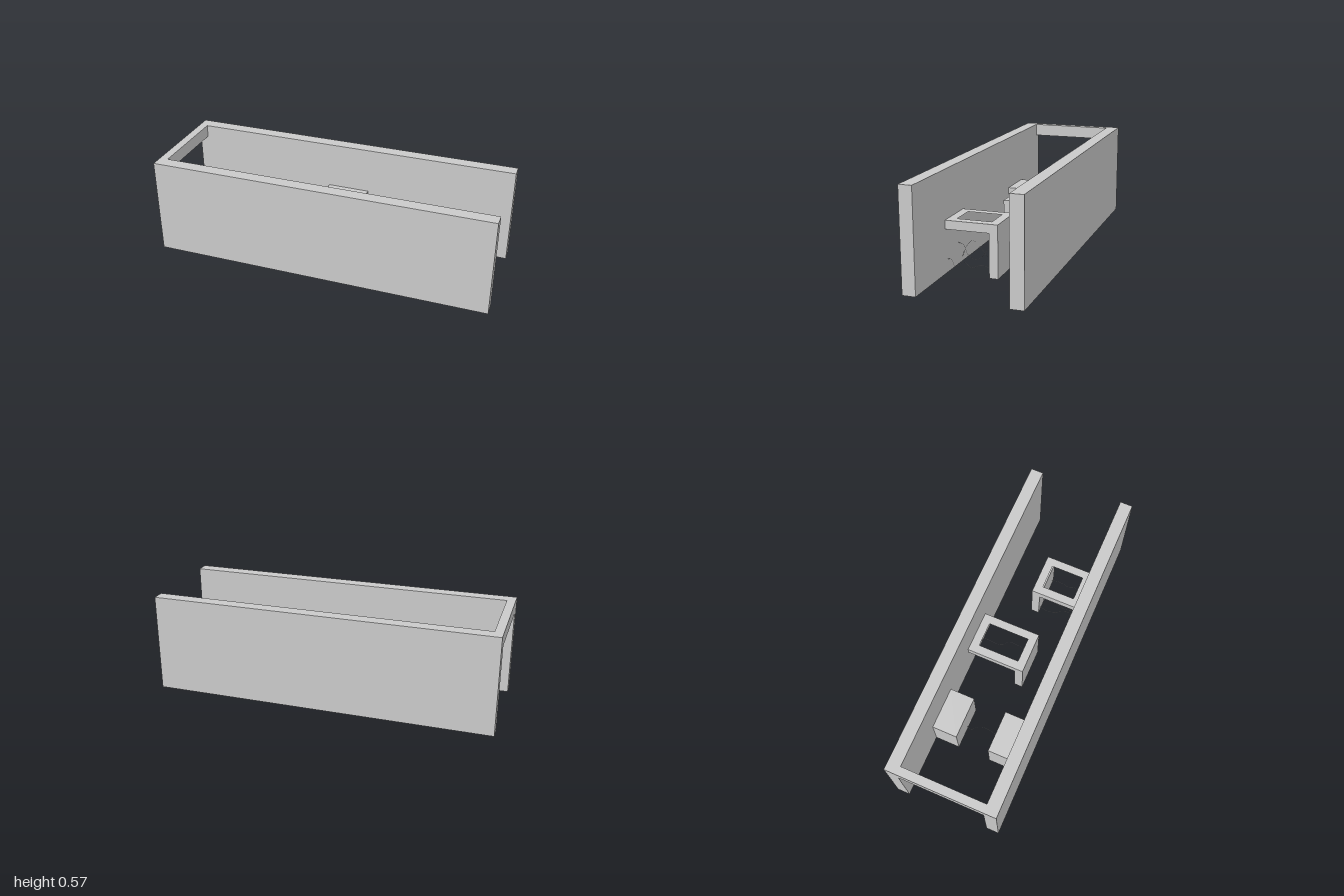
import * as THREE from 'three';

const grey = new THREE.MeshStandardMaterial({ color: 0xcccccc });

function add(group, name, geometry) {
  const mesh = new THREE.Mesh(geometry, grey);
  mesh.name = name;
  group.add(mesh);
  return mesh;
}

// Box given by its limits on each axis
function box(group, name, [x0, x1], [y0, y1], [z0, z1]) {
  add(group, name, new THREE.BoxGeometry(x1 - x0, y1 - y0, z1 - z0))
    .position.set((x0 + x1) / 2, (y0 + y1) / 2, (z0 + z1) / 2);
}

function rectangle(target, w, z0, z1) {
  target.moveTo(-w, -z0);
  target.lineTo(w, -z0);
  target.lineTo(w, -z1);
  target.lineTo(-w, -z1);
  target.closePath();
  return target;
}

// Ledge: a top frame with a rectangular opening, on one upright panel
function ledge(name, x, [z0, z1], panelZ) {
  const group = new THREE.Group();
  group.name = name;
  const shape = rectangle(new THREE.Shape(), 0.125, z0, z1);
  shape.holes.push(rectangle(new THREE.Path(), 0.075, z0 + 0.05, z1 - 0.05));
  const top = new THREE.ExtrudeGeometry(shape, { depth: 0.05, bevelEnabled: false });
  top.rotateX(-Math.PI / 2);
  add(group, 'ledgeTop', top).position.y = 0.25;
  box(group, 'ledgePanel', [-0.125, 0.125], [0, 0.25], panelZ);
  group.position.x = x;
  return group;
}

// Hair-thin strand in a plane of constant x, through [z, y] points
function strand(group, x, points) {
  const curve = new THREE.CatmullRomCurve3(points.map(([z, y]) => new THREE.Vector3(x, y, z)));
  add(group, 'strand', new THREE.TubeGeometry(curve, 60, 0.0008, 4));
}

export function createModel() {
  const model = new THREE.Group();
  model.name = 'corridor';

  // Long side walls and the lintel joining them at one end
  box(model, 'frontWall', [-1, 1], [0, 0.575], [0.25, 0.325]);
  box(model, 'backWall', [-1, 1], [0, 0.575], [-0.325, -0.25]);
  box(model, 'lintel', [-1, -0.95], [0.5, 0.575], [-0.25, 0.25]);

  // Pair of blocks leaving a narrow passage
  box(model, 'frontBlock', [-0.625, -0.375], [0, 0.25], [0.1, 0.25]);
  box(model, 'backBlock', [-0.625, -0.375], [0, 0.25], [-0.25, -0.1]);

  // Ledges built out from alternate walls
  model.add(ledge('backLedge', 0, [-0.25, 0.1], [0.05, 0.1]));
  model.add(ledge('frontLedge', 0.5, [-0.05, 0.25], [-0.05, 0]));

  // Strands strung across the passage and under the ledges
  const strands = new THREE.Group();
  strands.name = 'strands';
  model.add(strands);
  strand(strands, 0.4, [[0.25, 0.025], [0.22, 0.095], [0.185, 0.127], [0.145, 0.1], [0.1, 0.045], [0.055, 0.02], [0.02, 0.032], [0, 0.05]]);
  strand(strands, 0.45, [[0.25, 0.125], [0.22, 0.115], [0.195, 0.06], [0.15, 0.033], [0.11, 0.055], [0.075, 0.1], [0.05, 0.11], [0.02, 0.085], [0, 0.045]]);
  strand(strands, 0.6, [[0.25, 0.075], [0.23, 0.075], [0.205, 0.035], [0.155, 0.065], [0.11, 0.04], [0.055, 0.06], [0, 0.045]]);
  strand(strands, 0.05, [[0.05, 0.16], [0, 0.197], [-0.05, 0.205], [-0.08, 0.165], [-0.11, 0.095], [-0.14, 0.074], [-0.21, 0.087], [-0.24, 0.065], [-0.25, 0.015]]);
  strand(strands, -0.055, [[0.05, 0.075], [0, 0.04], [-0.05, 0.047], [-0.1, 0.061], [-0.185, 0.043], [-0.203, 0.06], [-0.2, 0.16], [-0.21, 0.22], [-0.23, 0.225], [-0.25, 0.2]]);
  strand(strands, -0.5, [[0.1, 0.15], [0.05, 0.2], [0.03, 0.205], [0, 0.19], [-0.05, 0.09], [-0.075, 0.01], [-0.1, 0.05]]);

  return model;
}
